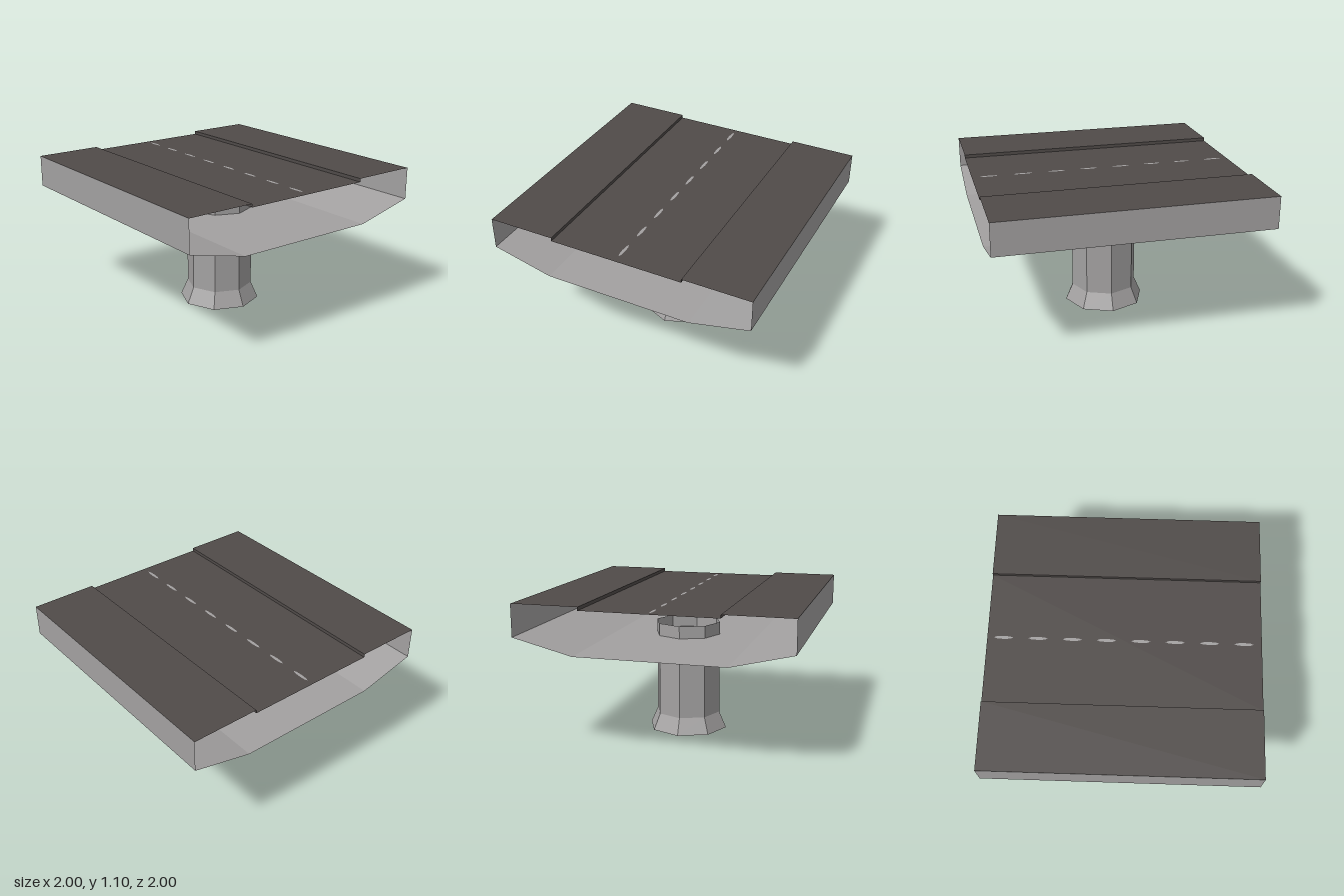
import * as THREE from 'three';

const DEPTH = 2;

// Open sheet: a profile of [x, y] points swept along z, with a flat facet per segment
function sweep(points) {
  const pos = [];
  const z = DEPTH / 2;
  for (let i = 0; i < points.length - 1; i++) {
    const [ax, ay] = points[i];
    const [bx, by] = points[i + 1];
    pos.push(ax, ay, z, bx, by, z, bx, by, -z);
    pos.push(ax, ay, z, bx, by, -z, ax, ay, -z);
  }
  const geo = new THREE.BufferGeometry();
  geo.setAttribute('position', new THREE.Float32BufferAttribute(pos, 3));
  geo.computeVertexNormals();
  return geo;
}

export function createModel() {
  const model = new THREE.Group();
  model.name = 'bridgeSection';

  const concrete = new THREE.MeshStandardMaterial({ color: 0xa3a1a1, flatShading: true, side: THREE.DoubleSide });
  concrete.name = 'concrete';
  const asphalt = new THREE.MeshStandardMaterial({ color: 0x504b49, flatShading: true, side: THREE.DoubleSide });
  asphalt.name = 'asphalt';

  const add = (name, geometry, material, y = 0) => {
    const mesh = new THREE.Mesh(geometry, material);
    mesh.name = name;
    mesh.position.y = y;
    model.add(mesh);
    return mesh;
  };

  // Deck: hollow trough with open ends, and a road sunk between raised walkways
  add('deckShell', sweep([[1, 1.1], [1, 0.86], [0.55, 0.75], [-0.55, 0.75], [-1, 0.86], [-1, 1.1]]), concrete);
  add('roadSurface', sweep([[-1, 1.1], [-0.5, 1.1], [-0.5, 1.075], [0.5, 1.075], [0.5, 1.1], [1, 1.1]]), asphalt);

  // Dashed centre line
  for (let i = 0; i < 8; i++) {
    const dash = add('laneDash', new THREE.CircleGeometry(0.07, 8).scale(0.17, 1, 1).rotateX(-Math.PI / 2), concrete, 1.0765);
    dash.position.z = -0.88 + i * 0.25;
  }

  // Octagonal pillar on a flared foot
  const shaftBottom = 0.125, shaftTop = 0.845;
  const shaftHeight = shaftTop - shaftBottom;
  add('pillarShaft', new THREE.CylinderGeometry(0.253, 0.253, shaftHeight, 8, 1, true), concrete, shaftBottom + shaftHeight / 2);
  add('pillarFoot', new THREE.CylinderGeometry(0.253, 0.308, shaftBottom, 8, 1, true), concrete, shaftBottom / 2);
  add('footBase', new THREE.CircleGeometry(0.308, 8).rotateX(Math.PI / 2), concrete);

  return model;
}
